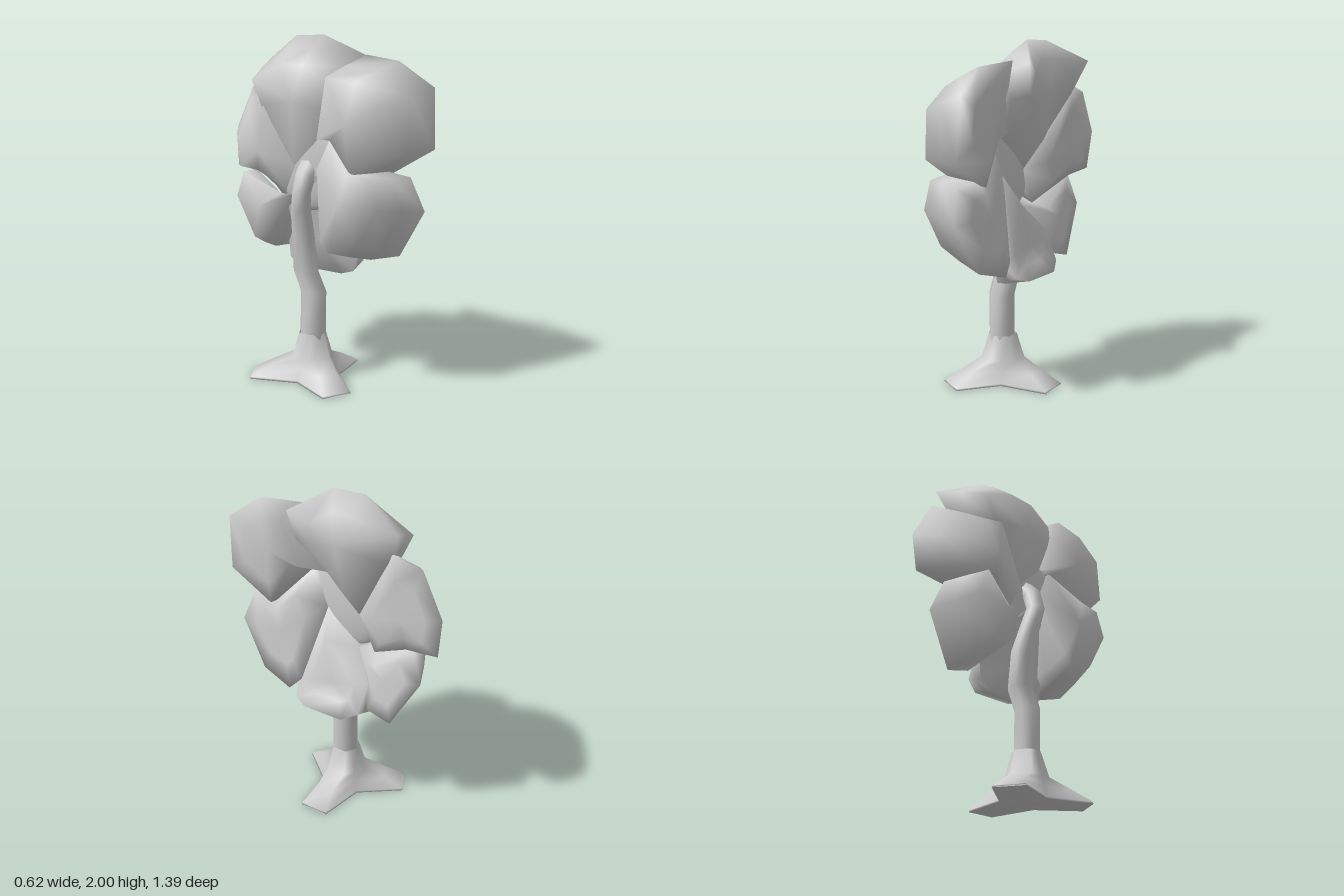
import * as THREE from 'three';
import { mergeVertices } from 'three/addons/utils/BufferGeometryUtils.js';

const material = new THREE.MeshStandardMaterial({ color: 0xcccccc, side: THREE.DoubleSide });
const HUB = new THREE.Vector3(-0.04, 1.29, 0);

// Skin a smooth closed surface over equal-length rings of points
function loft(rings) {
  const n = rings[0].length, index = [];
  for (let i = 0; i < rings.length - 1; i++) {
    for (let j = 0; j < n; j++) {
      const k = (j + 1) % n;
      const a = i * n + j, b = a + n, c = i * n + k, d = c + n;
      index.push(a, b, c, c, b, d);
    }
  }
  let geometry = new THREE.BufferGeometry().setFromPoints(rings.flat());
  geometry.setIndex(index);
  geometry = mergeVertices(geometry, 1e-4);
  geometry.computeVertexNormals();
  return geometry;
}

function addMesh(group, name, geometry) {
  const mesh = new THREE.Mesh(geometry, material);
  mesh.name = name;
  group.add(mesh);
  return mesh;
}

// Corner of the hexagonal centre where two neighbouring petals meet
function joint(k) {
  const a = Math.PI * (k / 3 + 1 / 3);
  return new THREE.Vector3(0.005, 1.25 + 0.24 * Math.sin(a - k * Math.PI * 2 / 3), 0.21 * Math.cos(a));
}

// Plump petal: rounded back, wide rim and domed face that drops to the centre.
// Rim points are [z, y, x], clockwise seen from the face; taper sizes the back outline
function petalGeometry(slot, back, face, taper, rim) {
  const outer = rim.map(([z, y, x]) => new THREE.Vector3(x, y, z));
  const edge = [joint(slot), ...outer, joint(slot + 1)];
  const centre = edge.reduce((s, p) => s.add(p), new THREE.Vector3()).divideScalar(edge.length);
  const flat = (p, scale, x) => p.clone().sub(HUB).multiplyScalar(scale).add(HUB).setX(x);
  const rear = edge.map((p) => flat(p, taper, p.x < 0.02 ? -0.1 : back));
  const middle = edge.map((p, i) => flat(p, 0.54 + 0.46 * taper, (p.x + rear[i].x) / 2));
  const rearCentre = flat(centre, taper, back - 0.02);
  const top = centre.clone().setX(face);
  const dome = edge.map((p) => p.clone().lerp(top, 0.4).setX(p.x + (face - p.x) * 0.75));
  return loft([
    edge.map(() => rearCentre.clone()),
    rear,
    middle,
    edge,
    dome,
    edge.map(() => top.clone()),
  ]);
}

function makePetals() {
  const petals = new THREE.Group();
  petals.name = 'petals';
  addMesh(petals, 'topPetal', petalGeometry(0, -0.12, 0.21, 0.77, [
    [0.22, 1.68, 0.15], [0.2, 1.88, 0.25], [0, 2, 0.1],
    [-0.2, 2, 0.1], [-0.47, 1.88, 0.23], [-0.38, 1.69, 0.17]]));
  addMesh(petals, 'upperRearPetal', petalGeometry(1, -0.14, 0.14, 0.66, [
    [-0.4, 1.74, 0.16], [-0.57, 1.69, 0.14], [-0.695, 1.44, 0.14],
    [-0.67, 1.21, 0.12], [-0.47, 1.19, 0.11]]));
  addMesh(petals, 'lowerRearPetal', petalGeometry(2, -0.17, 0.12, 0.78, [
    [-0.5, 1.19, 0.08], [-0.57, 1, 0.11], [-0.4, 0.7, 0.14], [-0.25, 0.74, 0.14]]));
  addMesh(petals, 'bottomPetal', petalGeometry(3, 0.06, 0.13, 1.06, [
    [-0.23, 0.88, 0.1], [-0.21, 0.71, 0.18], [-0.12, 0.665, 0.22],
    [0.14, 0.665, 0.22], [0.22, 0.69, 0.19], [0.24, 0.78, 0.13]]));
  addMesh(petals, 'lowerFrontPetal', petalGeometry(4, -0.2, 0.13, 0.82, [
    [0.22, 0.78, 0.14], [0.29, 0.71, 0.16], [0.5, 0.77, 0.13],
    [0.67, 1.05, 0.1], [0.6, 1.24, 0.06], [0.43, 1.26, 0.07]]));
  addMesh(petals, 'upperFrontPetal', petalGeometry(5, -0.17, 0.165, 0.81, [
    [0.43, 1.23, 0.13], [0.7, 1.39, 0.14], [0.68, 1.72, 0.16],
    [0.48, 1.86, 0.12], [0.24, 1.89, 0.17]]));
  return petals;
}

// Three-footed base: each row is [height, reach, half width of foot, valley radius]
function baseGeometry() {
  const feet = [[0, 1], [2.1, 0.96], [4.18, 1.01]];
  const rows = [
    [0, 0, 0, 0], [0, 0.36, 0.088, 0.15], [0.012, 0.355, 0.086, 0.147],
    [0.08, 0.24, 0.055, 0.125], [0.135, 0.115, 0.06, 0.11], [0.28, 0.073, 0.042, 0.075],
  ];
  return loft(rows.map(([y, reach, half, valley]) => feet.flatMap(([angle, length], i) => {
    const r = reach * length;
    const next = i < 2 ? feet[i + 1][0] : Math.PI * 2;
    const mid = (angle + next) / 2;
    const c = Math.cos(angle), s = Math.sin(angle);
    const at = (x, z) => new THREE.Vector3(x - 0.05, y, z + 0.02);
    return [
      at(r * c + half * s, r * s - half * c),
      at(r * c - half * s, r * s + half * c),
      at(valley * Math.cos(mid), valley * Math.sin(mid)),
    ];
  })));
}

// Crooked stem that hooks into the back of the flower: rows are [x, y, z, radius, tilt]
function stemGeometry() {
  const path = [
    [-0.05, 0.2, 0.025, 0.076, 0], [-0.05, 0.53, 0.028, 0.077, 0],
    [-0.05, 0.64, -0.025, 0.075, 0], [-0.07, 0.85, -0.03, 0.068, 0],
    [-0.12, 1.02, -0.01, 0.06, 0], [-0.14, 1.12, 0.01, 0.055, 0],
    [-0.11, 1.21, 0.01, 0.06, -0.7], [-0.04, 1.27, 0, 0.07, -1.1],
  ];
  return loft(path.map(([x, y, z, radius, tilt]) => Array.from({ length: 8 }, (_, j) => {
    const a = (j / 8 + 1 / 16) * Math.PI * 2, c = Math.cos(a) * radius;
    return new THREE.Vector3(
      x + c * Math.cos(tilt), y + c * Math.sin(tilt), z + Math.sin(a) * radius);
  })));
}

export function createModel() {
  const model = new THREE.Group();
  model.name = 'flower';

  addMesh(model, 'footedBase', baseGeometry());
  addMesh(model, 'stem', stemGeometry());

  // Flattened centre joining the petals
  const hub = addMesh(model, 'flowerCentre', new THREE.SphereGeometry(0.3, 20, 12));
  hub.scale.set(0.19, 0.95, 0.8);
  hub.position.copy(HUB);

  model.add(makePetals());
  return model;
}
